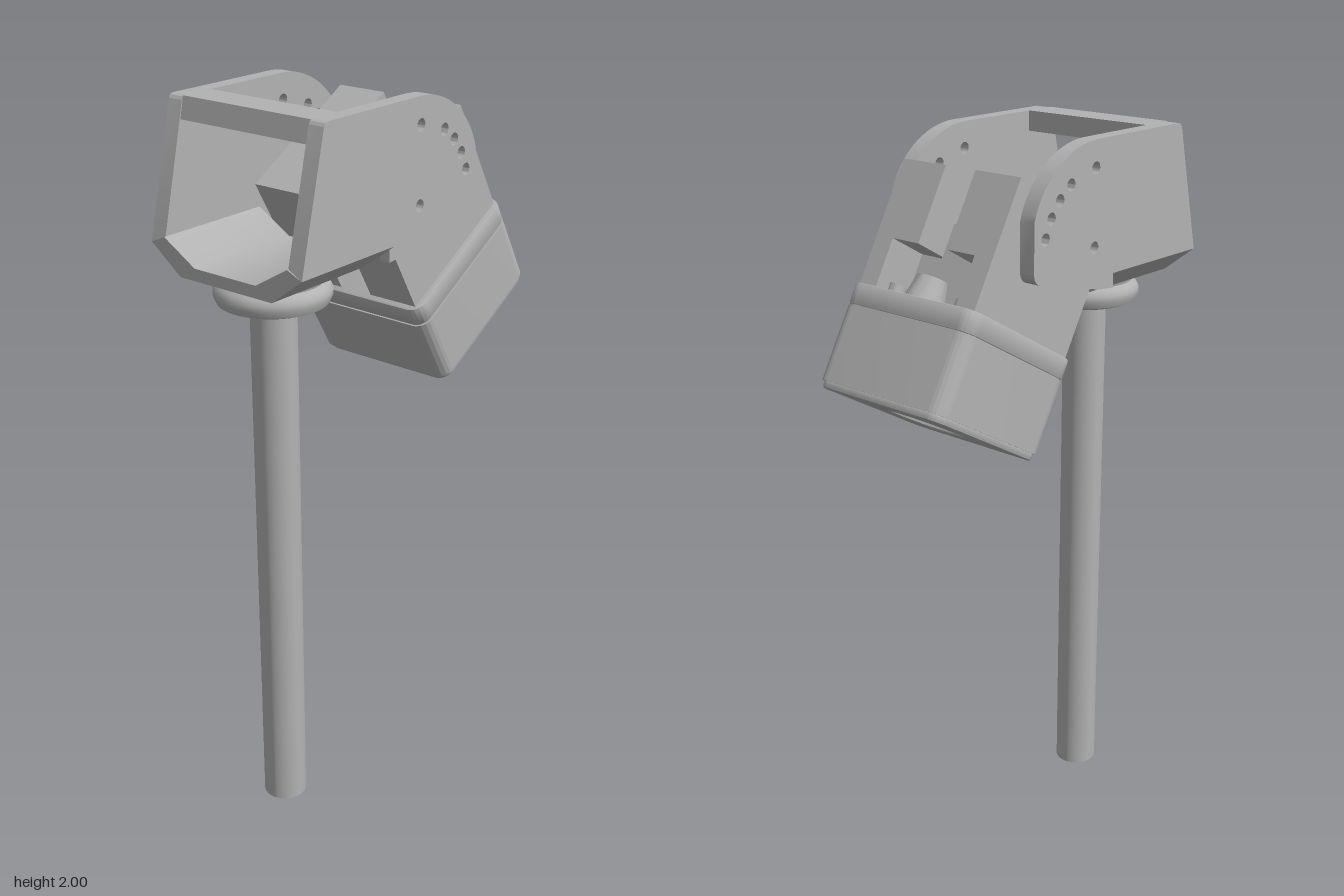
import * as THREE from 'three';
import { toCreasedNormals } from 'three/addons/utils/BufferGeometryUtils.js';

const grey = new THREE.MeshStandardMaterial({ color: 0xb2b2b2 });
grey.name = 'plain grey';

function add(parent, name, geometry, x = 0, y = 0, z = 0) {
  const mesh = new THREE.Mesh(toCreasedNormals(geometry, 0.6), grey);
  mesh.name = name;
  mesh.position.set(x, y, z);
  parent.add(mesh);
  return mesh;
}

const polygon = (pts) => new THREE.Shape(pts.map(([x, y]) => new THREE.Vector2(x, y)));

function extrude(shape, depth, bevel = 0) {
  return new THREE.ExtrudeGeometry(shape, {
    depth: depth - 2 * bevel, bevelEnabled: bevel > 0, bevelSize: bevel,
    bevelThickness: bevel, bevelOffset: -bevel, bevelSegments: 2, curveSegments: 16,
  }).translate(0, 0, bevel);
}

function circle(x, y, r) {
  return new THREE.Path().absarc(x, y, r, 0, Math.PI * 2, true);
}

function roundedSquare(h, r) {
  const s = new THREE.Shape();
  s.absarc(h - r, h - r, r, 0, Math.PI / 2);
  s.absarc(r - h, h - r, r, Math.PI / 2, Math.PI);
  s.absarc(r - h, r - h, r, Math.PI, Math.PI * 1.5);
  s.absarc(h - r, r - h, r, Math.PI * 1.5, Math.PI * 2);
  return s;
}

function buildStand(parent) {
  add(parent, 'pole', new THREE.CylinderGeometry(0.06, 0.06, 1.54, 40), -0.33, 0.77, 0);
  // Collar with a rounded lip and a waisted neck under the bracket
  const profile = [[0, 1.5], [0.125, 1.5], [0.142, 1.507], [0.15, 1.525], [0.15, 1.54],
    [0.142, 1.553], [0.13, 1.562], [0.132, 1.575], [0.145, 1.59], [0, 1.59]];
  add(parent, 'collar', new THREE.LatheGeometry(
    profile.map(([x, y]) => new THREE.Vector2(x, y)), 48), -0.33, 0, 0);
}

function buildBracket(parent) {
  // Side cheeks with pivot and angle-setting holes
  const side = new THREE.Shape();
  side.moveTo(-0.5, 1.65);
  side.lineTo(0.06, 1.65);
  side.lineTo(0.155, 1.672);
  side.quadraticCurveTo(0.18, 1.68, 0.18, 1.705);
  side.lineTo(0.18, 1.83);
  side.bezierCurveTo(0.15, 1.93, 0.05, 2, -0.06, 2);
  side.lineTo(-0.4, 2);
  side.quadraticCurveTo(-0.413, 2, -0.418, 1.985);
  side.lineTo(-0.5, 1.65);
  for (const [x, y] of [[-0.055, 1.93], [-0.055, 1.73], [0.042, 1.902],
    [0.084, 1.87], [0.116, 1.83], [0.138, 1.783]]) side.holes.push(circle(x, y, 0.016));
  const wedge = polygon([[-0.156, 1.605], [-0.1, 1.61], [0.06, 1.65], [-0.156, 1.65]]);
  for (const s of [1, -1]) {
    add(parent, 'bracketCheek', extrude(side, 0.045), 0, 0, s > 0 ? 0.2 : -0.245);
    add(parent, 'cheekLowerEdge', extrude(wedge, 0.03), 0, 0, s > 0 ? 0.2 : -0.23);
  }
  // Bridge across the top
  add(parent, 'bracketBridge', extrude(polygon(
    [[-0.425, 1.945], [-0.318, 1.945], [-0.318, 2], [-0.412, 2]]), 0.402), 0, 0, -0.201);
  // Trough-shaped floor, swept along x
  const floor = polygon([[-0.245, 1.65], [-0.15, 1.578], [0.15, 1.578], [0.245, 1.65],
    [0.2, 1.67], [0.1, 1.61], [-0.1, 1.61], [-0.2, 1.67]]);
  add(parent, 'bracketFloor', extrude(floor, 0.345).rotateY(Math.PI / 2), -0.5, 0, 0);
}

function buildHead(parent) {
  const head = new THREE.Group();
  head.name = 'tiltingHead';
  head.position.set(0.24, 1.42, 0);
  head.rotation.z = Math.PI / 6;
  parent.add(head);
  const upright = (geo) => geo.rotateX(-Math.PI / 2);

  // Housing: body, seam, rim and a floor with a round recess
  const under = roundedSquare(0.212, 0.04);
  under.holes.push(circle(0, 0, 0.1));
  add(head, 'housingUnderside', upright(extrude(under, 0.025, 0.006)), 0, -0.143, 0);
  add(head, 'housingBody', upright(extrude(roundedSquare(0.217, 0.04), 0.201)), 0, -0.124, 0);
  add(head, 'housingSeam', upright(extrude(roundedSquare(0.213, 0.038), 0.006)), 0, 0.076, 0);
  add(head, 'housingRim', upright(extrude(roundedSquare(0.217, 0.04), 0.058, 0.007)), 0, 0.081, 0);

  // Forked arms: solid outer slab and notched inner slab
  const inner = polygon([[-0.2, 0.13], [0.08, 0.13], [0.08, 0.27], [0.2, 0.27], [0.2, 0.477],
    [0.055, 0.477], [0.055, 0.33], [-0.06, 0.33], [-0.06, 0.477], [-0.2, 0.477]]);
  for (const s of [1, -1]) {
    add(head, 'armOuterSlab', new THREE.BoxGeometry(0.4, 0.347, 0.058), 0, 0.3035, s * 0.169);
    add(head, 'armInnerSlab', extrude(inner, 0.09), 0, 0, s > 0 ? 0.05 : -0.14);
    // Screw heads at the foot of the fork
    add(head, 'screwHead', new THREE.CylinderGeometry(0.022, 0.022, 0.03, 20), 0.15, 0.15, s * 0.115);
  }
  // Web between the arms, with a hollowed top
  const web = new THREE.Shape();
  web.moveTo(-0.12, 0.13);
  web.lineTo(0.1, 0.13);
  web.lineTo(0.1, 0.36);
  web.lineTo(0.04, 0.36);
  web.quadraticCurveTo(-0.02, 0.3, -0.08, 0.34);
  web.lineTo(-0.12, 0.34);
  add(head, 'centreWeb', extrude(web, 0.102), 0, 0, -0.051);
  add(head, 'cableBoss', new THREE.CylinderGeometry(0.04, 0.055, 0.07, 24), 0.13, 0.17, 0.03);
}

export function createModel() {
  const model = new THREE.Group();
  model.name = 'tiltingHeadOnPole';
  buildStand(model);
  buildBracket(model);
  buildHead(model);
  return model;
}
